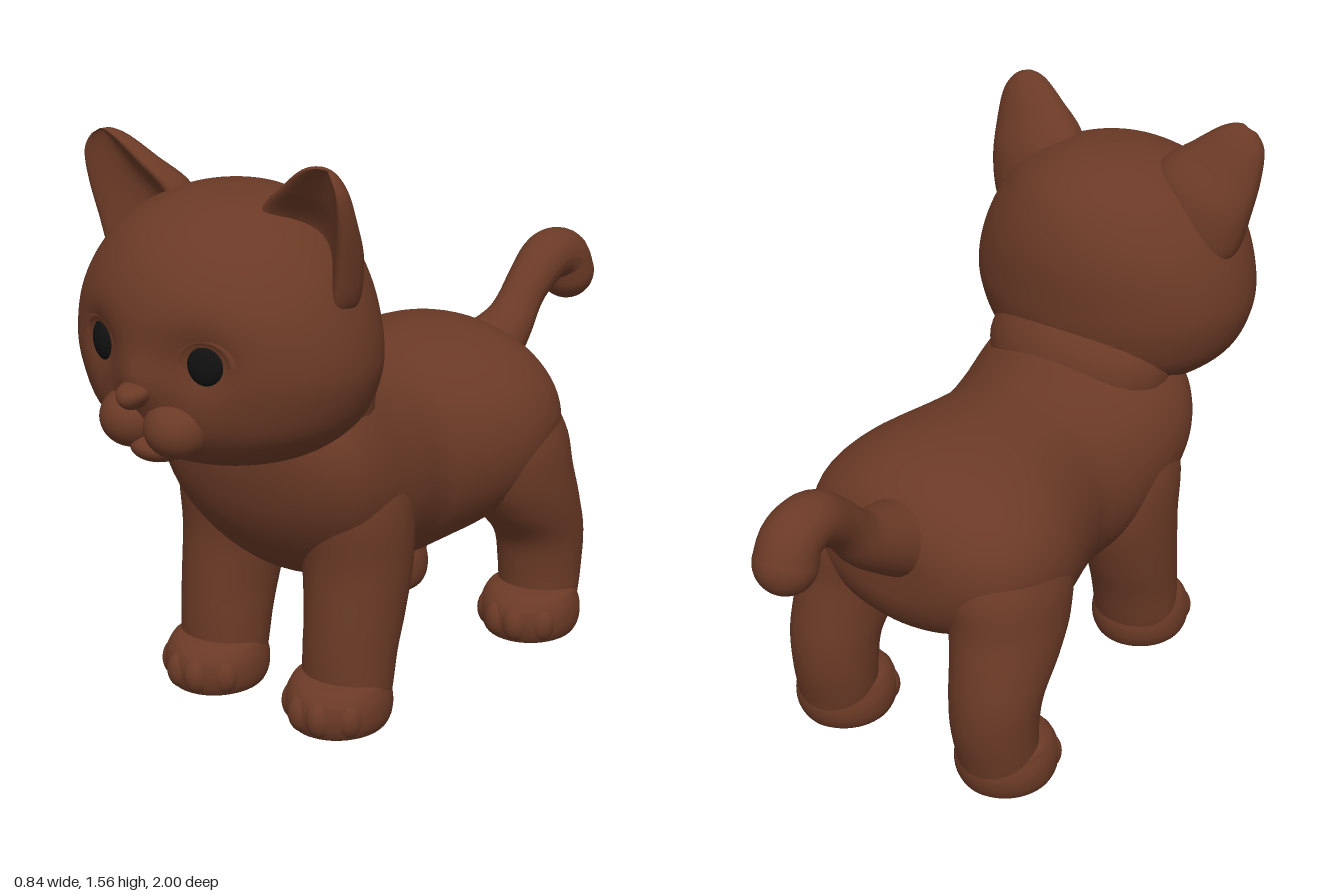
import * as THREE from 'three';
import { mergeVertices } from 'three/addons/utils/BufferGeometryUtils.js';

const fur = new THREE.MeshStandardMaterial({ color: 0x6b3a26 });
fur.name = 'brown fur';
const black = new THREE.MeshStandardMaterial({ color: 0x111111 });
black.name = 'eye black';

const circle = (a) => [Math.cos(a), Math.sin(a)];

// Smooth loft along 'y' or 'z'. Each row: [position, centreA, centreB, radiusA, radiusB]
function loft(axis, rows, { section = circle, side = 1, rings = 44, segs = 48 } = {}) {
  const curve = (f) => new THREE.CatmullRomCurve3(rows.map(f), false, 'catmullrom', 0.5);
  const centre = curve((r) => new THREE.Vector3(r[1] * side, r[2], r[0]));
  const radius = curve((r) => new THREE.Vector3(r[3], r[4], 0));
  const pos = [], index = [];
  for (let i = 0; i <= rings; i++) {
    const c = centre.getPoint(i / rings), r = radius.getPoint(i / rings);
    const ra = Math.max(r.x, 0.0005), rb = Math.max(r.y, 0.0005);
    for (let j = 0; j < segs; j++) {
      const ang = (j / segs) * Math.PI * 2 * (axis === 'y' ? -1 : 1);
      const [a, b] = section(ang);
      const p = c.x + a * ra, q = c.y + b * rb;
      pos.push(...(axis === 'y' ? [p, c.z, q] : [p, q, c.z]));
      if (i < rings) {
        const k = (j + 1) % segs, o = i * segs, n = o + segs;
        index.push(o + j, o + k, n + k, o + j, n + k, n + j);
      }
    }
  }
  // close both ends
  const last = rings * segs;
  for (let j = 1; j < segs - 1; j++) index.push(0, j + 1, j, last, last + j, last + j + 1);
  const g = new THREE.BufferGeometry();
  g.setAttribute('position', new THREE.Float32BufferAttribute(pos, 3));
  g.setIndex(index);
  g.computeVertexNormals();
  return g;
}

// Moves every vertex by a rule, then renews the normals
function reshape(g, rule) {
  const p = g.attributes.position, v = new THREE.Vector3();
  for (let i = 0; i < p.count; i++) {
    rule(v.fromBufferAttribute(p, i));
    p.setXYZ(i, v.x, v.y, v.z);
  }
  g.computeVertexNormals();
  return g;
}

export function createModel() {
  const model = new THREE.Group();
  model.name = 'kitten';
  const add = (name, geometry, material = fur) => {
    const m = new THREE.Mesh(geometry, material);
    m.name = name;
    model.add(m);
    return m;
  };
  const blob = (name, c, r, material = fur) => {
    const m = add(name, new THREE.SphereGeometry(1, 32, 24), material);
    m.position.set(...c);
    m.scale.set(...r);
    return m;
  };

  // Torso, from rump to chest, and neck
  add('body', loft('z', [
    [-0.515, 0, 0.64, 0, 0], [-0.505, 0, 0.64, 0.17, 0.11], [-0.45, 0, 0.64, 0.29, 0.2],
    [-0.35, 0, 0.645, 0.36, 0.255], [-0.2, 0, 0.625, 0.375, 0.298], [0, 0, 0.61, 0.32, 0.31],
    [0.1, 0, 0.612, 0.302, 0.31], [0.25, 0, 0.63, 0.325, 0.31], [0.4, 0, 0.68, 0.34, 0.31],
    [0.5, 0, 0.72, 0.325, 0.275], [0.58, 0, 0.755, 0.255, 0.2], [0.62, 0, 0.775, 0.13, 0.1],
    [0.628, 0, 0.78, 0, 0],
  ], { rings: 72, segs: 64 }));
  blob('neck', [0, 0.88, 0.42], [0.28, 0.2, 0.2]);

  // Head, with eye sockets pressed in and a raised nose bridge
  const bump = (dx, dy, s) => Math.exp(-(dx * dx + dy * dy) / (2 * s * s));
  const head = loft('y', [
    [0.772, 0, 0.6, 0, 0], [0.782, 0, 0.6, 0.15, 0.14], [0.82, 0, 0.6, 0.265, 0.235],
    [0.9, 0, 0.6, 0.362, 0.3], [1.0, 0, 0.6, 0.408, 0.326], [1.09, 0, 0.602, 0.413, 0.334],
    [1.2, 0, 0.603, 0.382, 0.332], [1.3, 0, 0.598, 0.328, 0.298], [1.38, 0, 0.588, 0.252, 0.237],
    [1.44, 0, 0.578, 0.13, 0.13], [1.458, 0, 0.575, 0, 0],
  ], { rings: 90, segs: 128 });
  add('head', reshape(head, (v) => {
    if (v.z < 0.6) return;
    v.z -= 0.035 * bump(Math.abs(v.x) - 0.165, v.y - 1.095, 0.055);
    v.z += 0.025 * bump(v.x, v.y - 1.03, 0.05);
  }));

  // Muzzle and nose
  blob('chin', [0, 0.86, 0.86], [0.075, 0.043, 0.08]);
  const nose = mergeVertices(new THREE.SphereGeometry(1, 32, 24).deleteAttribute('uv').deleteAttribute('normal'));
  reshape(nose, (v) => {
    v.set(v.x * 0.05 * (0.8 + 0.3 * v.y), 1.005 + v.y * 0.034, 0.948 + v.z * 0.05);
  });
  add('nose', nose);

  // Tail: tube with varying thickness and a rounded tip
  const path = new THREE.CatmullRomCurve3(
    [[0.7, -0.4], [0.75, -0.52], [0.805, -0.62], [0.905, -0.72], [0.963, -0.82], [0.945, -0.895], [0.895, -0.918]]
      .map(([y, z]) => new THREE.Vector3(0, y, z)));
  const thickness = new THREE.CatmullRomCurve3(
    [0.125, 0.09, 0.064, 0.073, 0.083].map((r, i) => new THREE.Vector3(r, i, 0)));
  const steps = 48, around = 28;
  const tail = new THREE.TubeGeometry(path, steps, 1, around);
  let n = 0;
  reshape(tail, (v) => {
    const u = Math.floor(n++ / (around + 1)) / steps;
    const c = path.getPointAt(u);
    v.sub(c).multiplyScalar(thickness.getPoint(u).x).add(c);
  });
  add('tail', tail);
  blob('tailTip', [0, 0.895, -0.918], [0.083, 0.083, 0.083]);

  // Cupped ear section: round behind, hollow in front
  const earSection = (a) => {
    const s = Math.sin(a);
    return [Math.cos(a), s < 0 ? s : s * (1.6 - 2 * s * s)];
  };

  for (const side of [1, -1]) {
    const label = side > 0 ? 'left' : 'right';

    const ear = add(label + 'Ear', loft('y', [
      [-0.07, 0, 0.575, 0.13, 0.085], [0, 0, 0.585, 0.148, 0.095], [0.1, -0.015, 0.6, 0.145, 0.09],
      [0.19, -0.005, 0.63, 0.108, 0.065], [0.26, 0, 0.652, 0.07, 0.045],
      [0.292, 0, 0.66, 0.032, 0.025], [0.3, 0, 0.662, 0, 0],
    ], { section: earSection, side }));
    ear.position.set(0.25 * side, 1.28, 0);
    ear.rotation.z = -0.4 * side;

    // Eye and upper lid
    const eye = blob(label + 'Eye', [0.165 * side, 1.095, 0.872], [0.049, 0.054, 0.025], black);
    eye.rotation.y = 0.32 * side;
    const lid = add(label + 'Eyelid', new THREE.TorusGeometry(0.062, 0.011, 12, 32, Math.PI));
    lid.position.set(0.168 * side, 1.095, 0.878);
    lid.rotation.y = 0.32 * side;
    lid.scale.x = 1.15;

    blob(label + 'Cheek', [0.073 * side, 0.92, 0.878], [0.084, 0.077, 0.085]);

    // Legs, spreading into shoulder and thigh
    add(label + 'FrontLeg', loft('y', [
      [0.01, 0.215, 0.42, 0.1, 0.1], [0.08, 0.215, 0.41, 0.122, 0.11], [0.2, 0.215, 0.395, 0.126, 0.125],
      [0.3, 0.215, 0.375, 0.13, 0.14], [0.45, 0.208, 0.352, 0.142, 0.156], [0.6, 0.195, 0.36, 0.152, 0.165],
      [0.72, 0.165, 0.37, 0.14, 0.15], [0.82, 0.14, 0.38, 0.09, 0.1], [0.88, 0.12, 0.38, 0, 0],
    ], { side }));
    add(label + 'HindLeg', loft('y', [
      [0.01, 0.27, -0.38, 0.1, 0.11], [0.1, 0.27, -0.4, 0.114, 0.11], [0.2, 0.267, -0.41, 0.12, 0.12],
      [0.3, 0.267, -0.4, 0.127, 0.132], [0.4, 0.26, -0.348, 0.14, 0.168], [0.5, 0.245, -0.305, 0.153, 0.19],
      [0.62, 0.215, -0.285, 0.165, 0.2], [0.75, 0.16, -0.27, 0.14, 0.16], [0.84, 0.1, -0.27, 0, 0],
    ], { side }));

    // Paws with toes
    for (const [name, x, z] of [['FrontPaw', 0.213, 0.44], ['HindPaw', 0.272, -0.36]]) {
      add(label + name, loft('y', [
        [0, x, z, 0, 0], [0.002, x, z, 0.105, 0.11], [0.025, x, z, 0.134, 0.137], [0.07, x, z, 0.141, 0.146],
        [0.115, x, z, 0.132, 0.135], [0.145, x, z - 0.01, 0.105, 0.105], [0.16, x, z - 0.02, 0, 0],
      ], { side, rings: 30 }));
      for (const t of [-1.5, -0.5, 0.5, 1.5]) {
        blob(label + name + 'Toe', [x * side + t * 0.058, 0.065, z + 0.118 - 0.022 * t * t],
          [0.04, 0.055, 0.042]);
      }
    }
  }
  return model;
}
